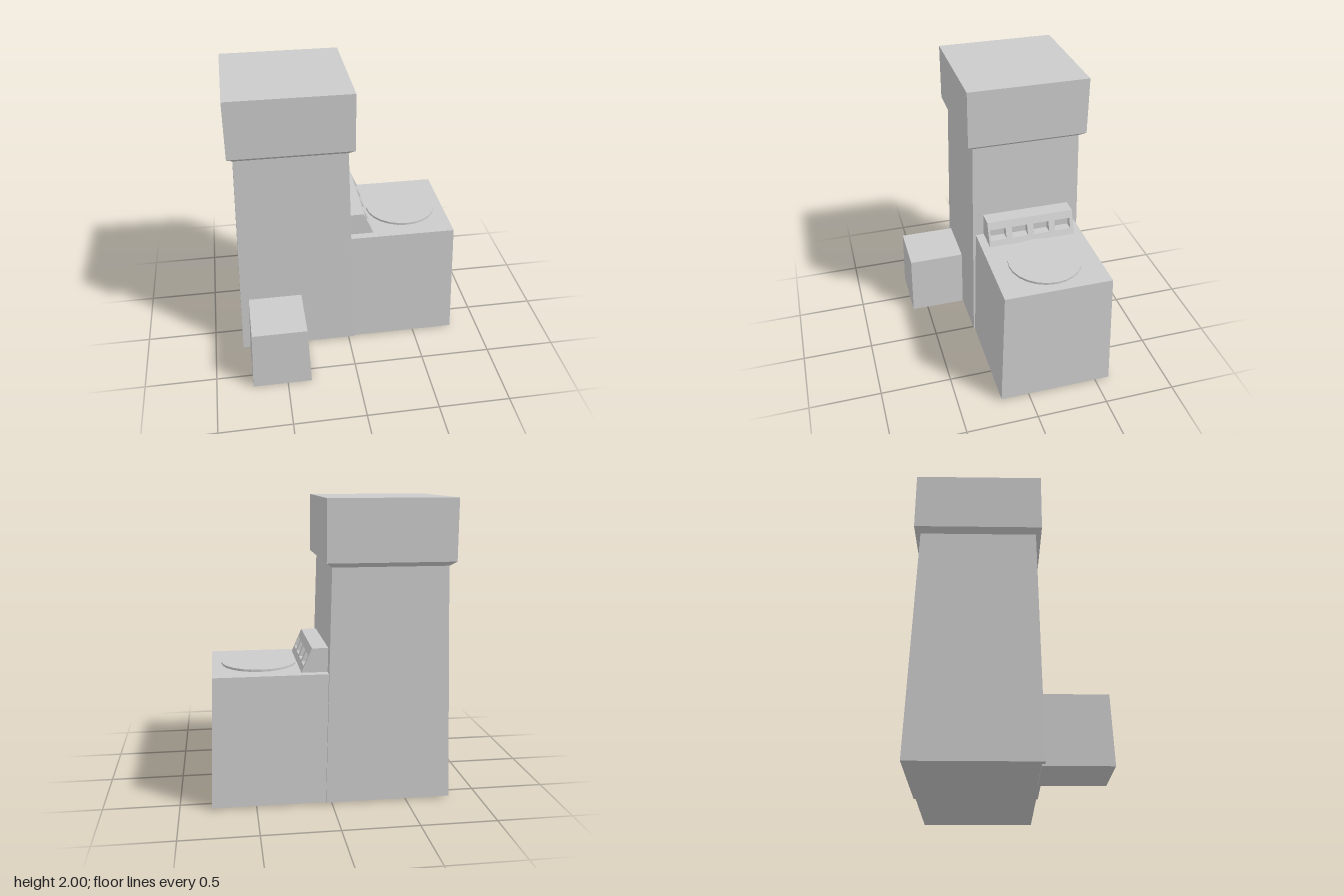
import * as THREE from 'three';

const material = new THREE.MeshStandardMaterial({ color: 0xcccccc, flatShading: true });

function addMesh(parent, name, geometry) {
  const mesh = new THREE.Mesh(geometry, material);
  mesh.name = name;
  parent.add(mesh);
  return mesh;
}

// Closed solid through stacked rectangles [y, xMin, xMax, zMin, zMax], bottom to top
function loft(sections) {
  const rings = sections.map(([y, x0, x1, z0, z1]) => [[x0, y, z1], [x1, y, z1], [x1, y, z0], [x0, y, z0]]);
  const positions = [];
  const quad = (a, b, c, d) => positions.push(...a, ...b, ...c, ...a, ...c, ...d);
  for (let i = 0; i + 1 < rings.length; i++) {
    const low = rings[i], high = rings[i + 1];
    for (let k = 0; k < 4; k++) {
      const n = (k + 1) % 4;
      quad(low[k], low[n], high[n], high[k]);
    }
  }
  const bottom = rings[0], top = rings[rings.length - 1];
  quad(top[0], top[1], top[2], top[3]);
  quad(bottom[3], bottom[2], bottom[1], bottom[0]);
  const geometry = new THREE.BufferGeometry();
  geometry.setAttribute('position', new THREE.Float32BufferAttribute(positions, 3));
  geometry.computeVertexNormals();
  return geometry;
}

// Sloping-fronted console with four recessed windows
function createConsole() {
  const console = new THREE.Group();
  console.name = 'windowConsole';
  const yBase = 0.88, yTop = 1.04, back = -0.03, recess = 0.11;
  const zMin = -0.51, zMax = 0.115;
  const slope = (y) => 0.19 - (0.07 * (y - yBase)) / (yTop - yBase);
  const sill = 0.92, head = 0.99;
  const slab = (name, y0, y1, x, z0, z1) => addMesh(console, name, loft([
    [y0, x, slope(y0), z0, z1],
    [y1, x, slope(y1), z0, z1],
  ]));

  slab('consoleSill', yBase, sill, back, zMin, zMax);
  slab('consoleHead', head, yTop, back, zMin, zMax);
  addMesh(console, 'consoleBack', loft([
    [sill, back, recess, zMin, zMax],
    [head, back, recess, zMin, zMax],
  ]));

  // Posts fill the spaces between the windows
  const width = 0.113, pitch = 0.158, first = -0.485;
  for (let i = 0; i <= 4; i++) {
    const z0 = i === 0 ? zMin : first + (i - 1) * pitch + width;
    const z1 = i === 4 ? zMax : first + i * pitch;
    slab('windowPost', sill, head, recess, z0, z1);
  }
  return console;
}

export function createModel() {
  const model = new THREE.Group();
  model.name = 'towerBuilding';

  // Tapered tower with an overhanging square head
  addMesh(model, 'tower', loft([
    [0.01, -0.797, 0.04, -0.613, 0.21],
    [1.57, -0.757, 0, -0.575, 0.182],
  ]));
  addMesh(model, 'towerHead', loft([
    [1.57, -0.757, 0, -0.575, 0.182],
    [1.6, -0.797, 0.04, -0.615, 0.22],
    [2, -0.797, 0.04, -0.615, 0.22],
  ]));

  // Lower side block carrying the round pad
  addMesh(model, 'sideBlock', loft([
    [0.01, -0.01, 0.792, -0.6, 0.2],
    [0.88, 0.015, 0.765, -0.57, 0.173],
  ]));
  const pad = addMesh(model, 'roundPad', new THREE.CylinderGeometry(0.253, 0.253, 0.025, 24));
  pad.position.set(0.448, 0.8825, -0.2);

  model.add(createConsole());

  // Small entrance block at the front of the tower
  addMesh(model, 'entranceBlock', loft([
    [0, -0.745, -0.331, 0.19, 0.615],
    [0.45, -0.729, -0.349, 0.19, 0.604],
  ]));

  return model;
}
